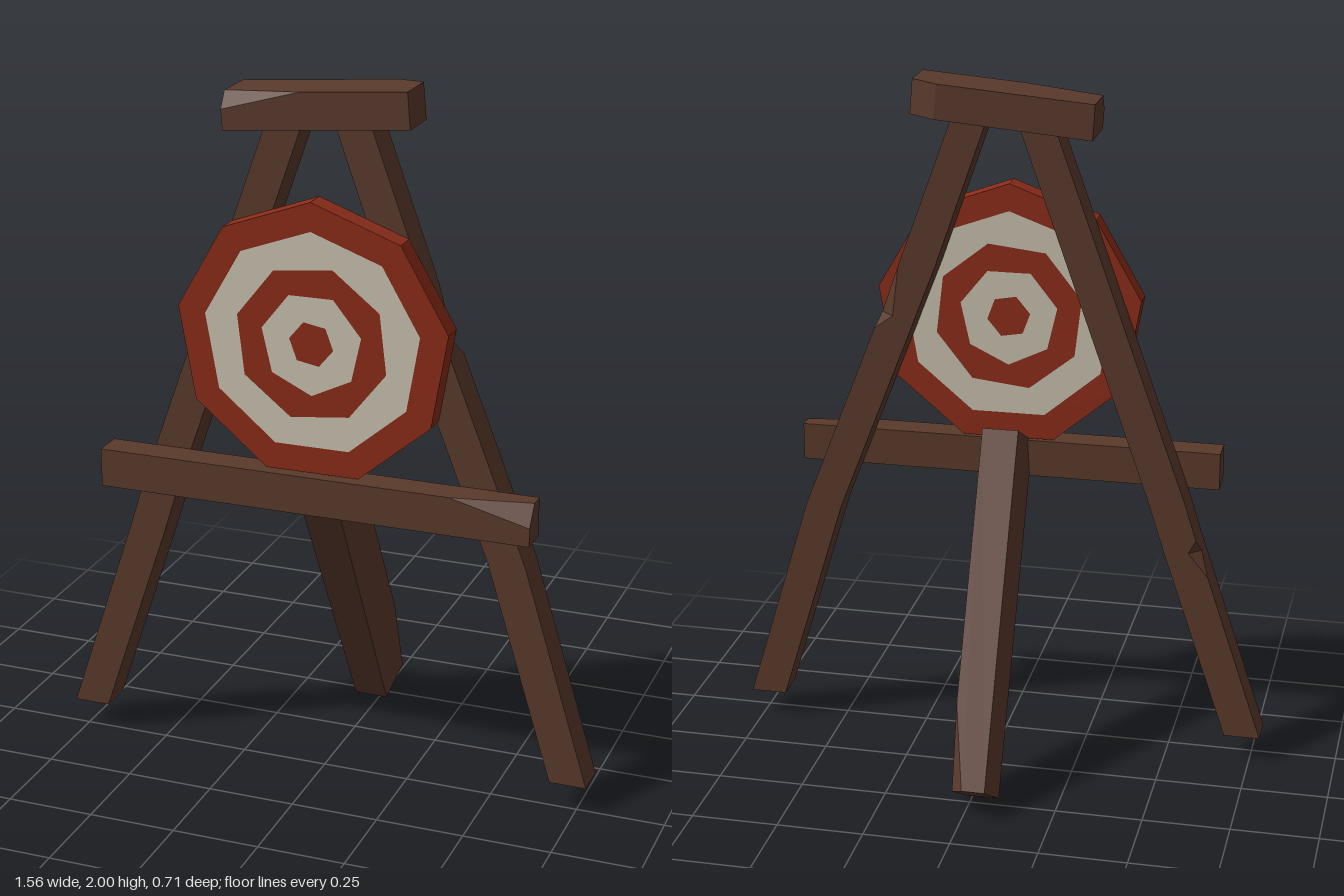
import * as THREE from 'three';
import { ConvexGeometry } from 'three/addons/geometries/ConvexGeometry.js';

const material = (color) => new THREE.MeshStandardMaterial({ color, flatShading: true });

// A plank given by its corner points, with chipped corners included
function plank(name, points, mat) {
  const mesh = new THREE.Mesh(new ConvexGeometry(points.map((p) => new THREE.Vector3(...p))), mat);
  mesh.name = name;
  return mesh;
}

// Leg lofted through sections [y, inner x, outer x, notch]; the notch cuts the outer back edge
function frontLeg(name, side, sections, mat) {
  const back = 0.17, front = 0.27;
  const rings = sections.map(([y, inner, outer, notch]) => [
    [inner, front], [outer, front], [outer, back + notch], [outer - notch, back], [inner, back],
  ].map(([x, z]) => [side * x, y, z]));
  const pos = [];
  const tri = (a, b, c) => pos.push(...(side > 0 ? [a, b, c] : [a, c, b]).flat());
  for (let i = 0; i < rings.length - 1; i++) {
    for (let j = 0; j < 5; j++) {
      const k = (j + 1) % 5, lo = rings[i], hi = rings[i + 1];
      tri(lo[j], lo[k], hi[k]);
      tri(lo[j], hi[k], hi[j]);
    }
  }
  const bottom = rings[0], top = rings[rings.length - 1];
  for (let j = 1; j < 4; j++) {
    tri(bottom[0], bottom[j + 1], bottom[j]);
    tri(top[0], top[j], top[j + 1]);
  }
  const geometry = new THREE.BufferGeometry();
  geometry.setAttribute('position', new THREE.Float32BufferAttribute(pos, 3));
  geometry.computeVertexNormals();
  const mesh = new THREE.Mesh(geometry, mat);
  mesh.name = name;
  return mesh;
}

const polygon = ([radius, sides, phase]) => Array.from({ length: sides }, (_, i) => {
  const a = THREE.MathUtils.degToRad(phase) + (i / sides) * Math.PI * 2;
  return new THREE.Vector2(Math.cos(a) * radius, Math.sin(a) * radius);
});

export function createModel() {
  const model = new THREE.Group();
  const wood = material(0x5a3a2c), red = material(0x8c2c18), cream = material(0xc8c2ae);

  // Round target: nested polygonal rings, visible on both faces
  const target = new THREE.Group();
  target.name = 'target';
  const rings = [[0.392, 9, 90], [0.312, 9, 90], [0.222, 8, 74], [0.146, 7, 13], [0.064, 6, 50]];
  rings.forEach((ring, i) => {
    const shape = new THREE.Shape(polygon(ring));
    if (rings[i + 1]) shape.holes.push(new THREE.Path(polygon(rings[i + 1])));
    const mesh = new THREE.Mesh(
      new THREE.ExtrudeGeometry(shape, { depth: 0.066, bevelEnabled: false }), i % 2 ? cream : red);
    mesh.name = i === 4 ? 'bullseye' : `targetRing${i + 1}`;
    target.add(mesh);
  });
  target.position.set(0, 1.3, 0.269);
  model.add(target);

  // Front legs, slightly bent and notched at the back
  model.add(frontLeg('leftFrontLeg', 1, [
    [0.08, 0.675, 0.78, 0], [0.71, 0.485, 0.592, 0], [1.27, 0.268, 0.375, 0],
    [1.31, 0.253, 0.36, 0.04], [1.46, 0.195, 0.302, 0], [1.89, 0.045, 0.147, 0],
  ], wood));
  model.add(frontLeg('rightFrontLeg', -1, [
    [0.08, 0.675, 0.78, 0], [0.58, 0.505, 0.612, 0], [0.65, 0.481, 0.588, 0.035],
    [0.69, 0.468, 0.575, 0], [0.8, 0.433, 0.54, 0], [1.89, 0.045, 0.147, 0],
  ], wood));

  // Shelf board with one chipped corner
  model.add(plank('shelfBoard', [
    [-0.625, 0.815, 0.27], [-0.625, 0.925, 0.27], [-0.625, 0.815, 0.357], [-0.625, 0.925, 0.357],
    [0.625, 0.815, 0.27], [0.625, 0.925, 0.27], [0.625, 0.815, 0.357],
    [0.4, 0.925, 0.357], [0.625, 0.868, 0.357], [0.625, 0.925, 0.315],
  ], wood));

  // Tilted top beam, chipped at the front and cut along a back edge
  model.add(plank('topBeam', [
    [-0.26, 1.855, 0.305], [-0.26, 1.855, 0.145], [-0.266, 1.957, 0.145],
    [-0.266, 1.957, 0.272], [-0.264, 1.912, 0.305], [-0.04, 1.976, 0.305],
    [0.265, 1.9, 0.305], [0.257, 2, 0.305], [0.265, 1.9, 0.178], [0.257, 2, 0.178],
    [0.19, 1.894, 0.145], [0.18, 1.994, 0.145],
  ], wood));

  // Rear prop leg, a little twisted, with a chipped foot
  model.add(plank('rearLeg', [
    [-0.077, 0, -0.212], [0.022, 0, -0.212], [-0.066, 0.088, -0.355],
    [0, 0.088, -0.355], [0.036, 0.065, -0.318], [0.042, 0.3, -0.228],
    [-0.062, 0.905, 0.32], [0.05, 0.905, 0.32], [-0.048, 0.985, 0.18], [0.058, 0.985, 0.18],
  ], wood));

  return model;
}
